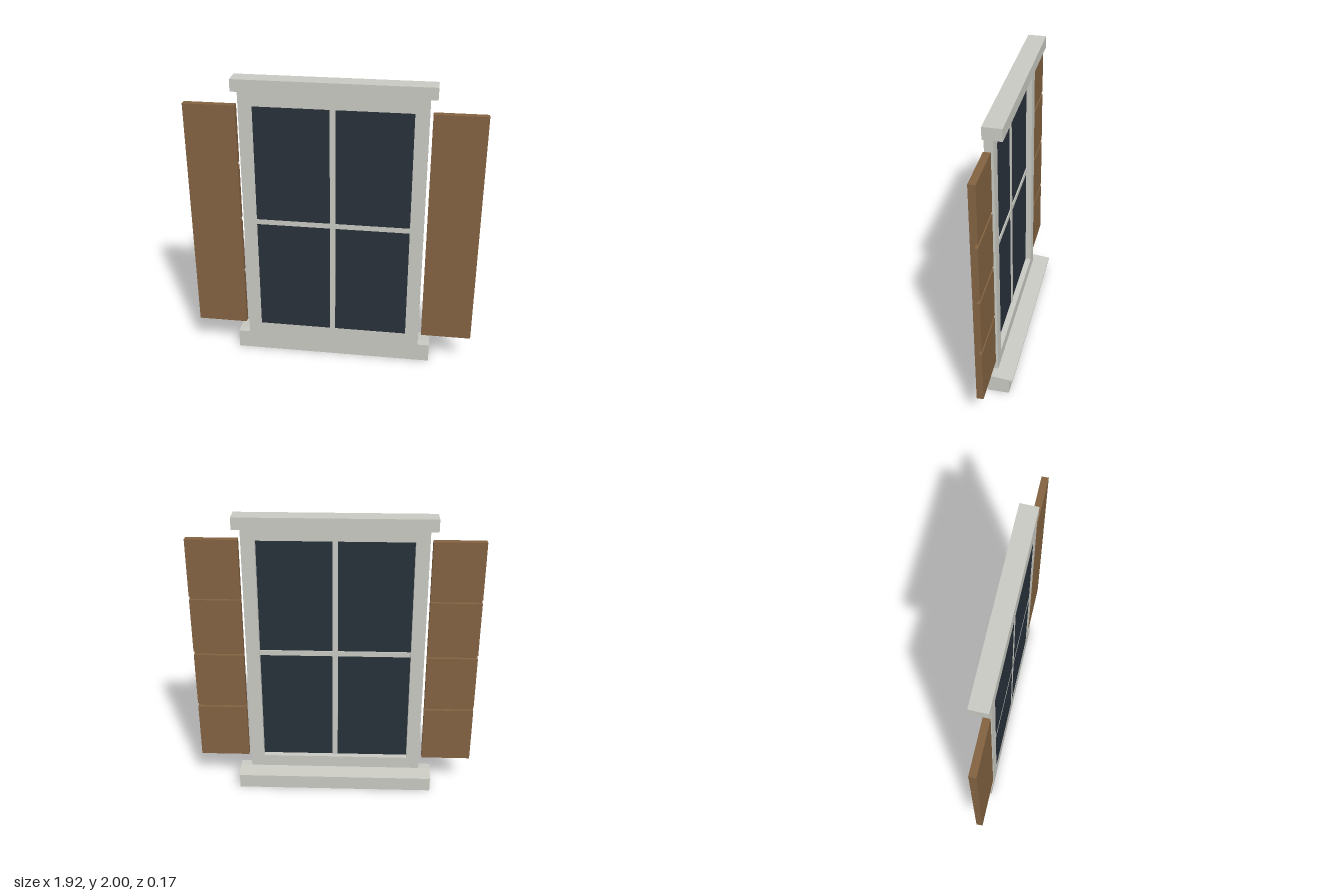
import * as THREE from 'three';

const FRONT = 0.085; // shared front plane
const stone = new THREE.MeshStandardMaterial({ color: 0xcacac3 });
const wood = new THREE.MeshStandardMaterial({ color: 0x836342 });
const glass = new THREE.MeshStandardMaterial({ color: 0x28313a });

// Box given by its limits on each axis
function box(name, material, [x0, x1], [y0, y1], [z0, z1]) {
  const mesh = new THREE.Mesh(new THREE.BoxGeometry(x1 - x0, y1 - y0, z1 - z0), material);
  mesh.position.set((x0 + x1) / 2, (y0 + y1) / 2, (z0 + z1) / 2);
  mesh.name = name;
  return mesh;
}

// Side profile of [z, y] points swept along x between x0 and x1
function sweepX(name, material, profile, x0, x1) {
  const shape = new THREE.Shape(profile.map(([z, y]) => new THREE.Vector2(-z, y)));
  const geometry = new THREE.ExtrudeGeometry(shape, { depth: x1 - x0, bevelEnabled: false });
  geometry.rotateY(Math.PI / 2).translate(x0, 0, 0);
  const mesh = new THREE.Mesh(geometry, material);
  mesh.name = name;
  return mesh;
}

function rectangle(target, x0, x1, y0, y1) {
  target.moveTo(x0, y0).lineTo(x1, y0).lineTo(x1, y1).lineTo(x0, y1).closePath();
  return target;
}

export function createModel() {
  const model = new THREE.Group();
  model.name = 'shutteredWindow';

  // Surround with one rectangular opening
  const outline = rectangle(new THREE.Shape(), -0.6, 0.6, 0.125, 1.925);
  outline.holes.push(rectangle(new THREE.Path(), -0.51, 0.51, 0.215, 1.83));
  const frame = new THREE.Mesh(
    new THREE.ExtrudeGeometry(outline, { depth: FRONT - 0.03, bevelEnabled: false }), stone);
  frame.position.z = 0.03;
  frame.name = 'frame';
  model.add(frame);

  // Head above, sill with sloping top and drip edge below
  model.add(box('head', stone, [-0.645, 0.645], [1.92, 2], [-0.035, FRONT]));
  model.add(sweepX('sill', stone, [
    [FRONT, 0], [FRONT, 0.13], [0.03, 0.13], [-0.085, 0.117],
    [-0.085, 0.106], [-0.06, 0.106], [-0.06, 0],
  ], -0.68, 0.68));

  // Pane and the bars dividing it in four
  model.add(box('pane', glass, [-0.51, 0.51], [0.215, 1.83], [0.07, FRONT - 0.001]));
  model.add(box('verticalBar', stone, [-0.018, 0.018], [0.215, 1.83], [0.063, FRONT]));
  model.add(box('horizontalBar', stone, [-0.51, 0.51], [1.005, 1.041], [0.063, FRONT]));

  // Shutters, grooved across the back
  const back = 0.04, bottom = 0.215, top = 1.83, half = 0.0125;
  const profile = [[FRONT, bottom], [FRONT, top], [back, top]];
  for (let i = 3; i >= 1; i--) {
    const y = bottom + (top - bottom) * i / 4;
    profile.push([back, y + half], [0.062, y + half], [0.062, y - half], [back, y - half]);
  }
  profile.push([back, bottom]);
  model.add(sweepX('leftShutter', wood, profile, 0.62, 0.96));
  model.add(sweepX('rightShutter', wood, profile, -0.96, -0.62));

  return model;
}
